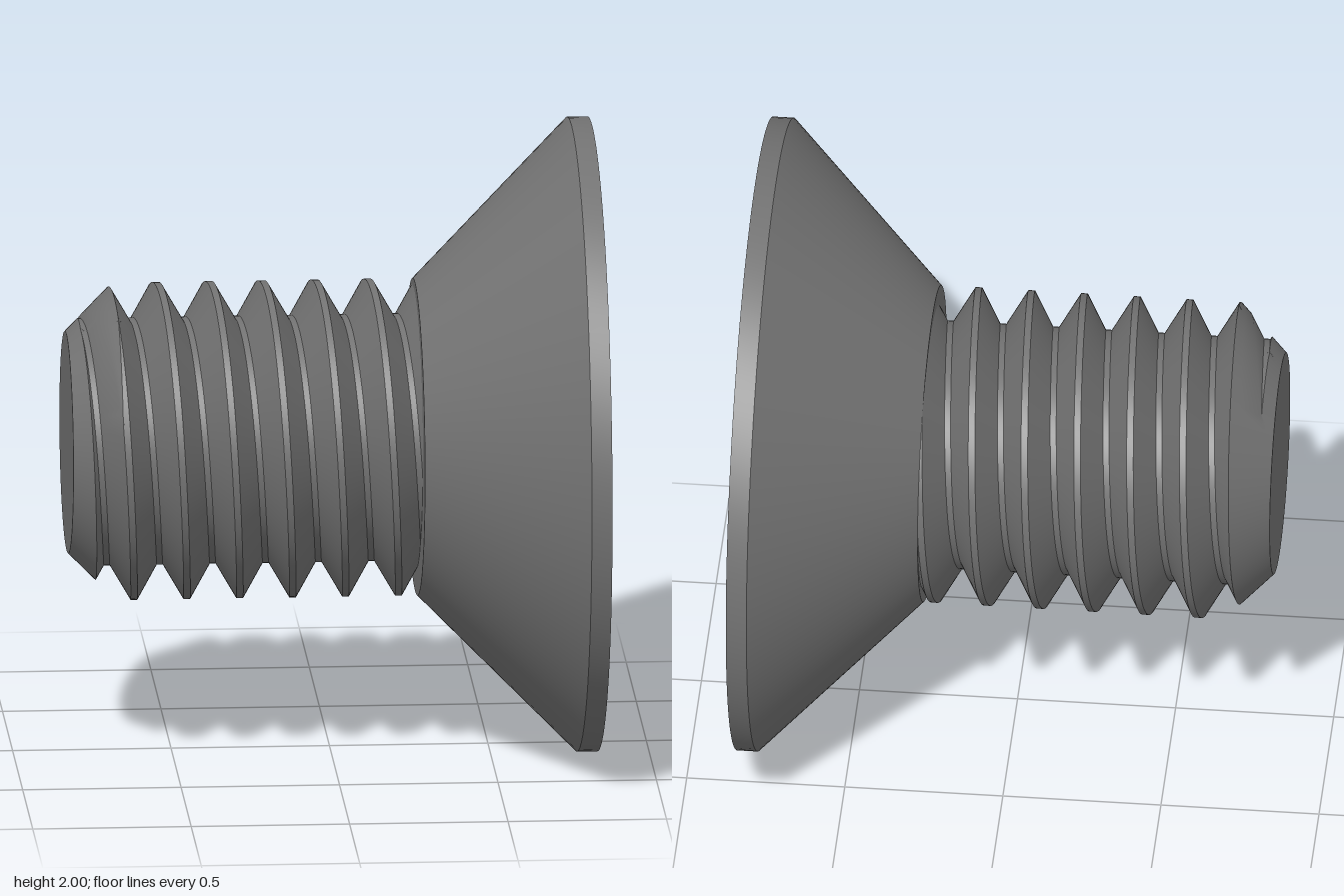
import * as THREE from 'three';
import { toCreasedNormals } from 'three/addons/utils/BufferGeometryUtils.js';

const SEGMENTS = 120;
const TIP = -0.83, NECK = 0.27, FACE = 0.83; // stations along the screw axis
const PITCH = 0.167, ROOT = 0.39, CREST = 0.5;
const clamp = THREE.MathUtils.clamp;

// Skin a ring of profiles; profileAt(angle) returns [x, radius] points
function sweep(profileAt) {
  const rings = [];
  for (let i = 0; i <= SEGMENTS; i++) {
    const a = (i / SEGMENTS) * Math.PI * 2;
    rings.push(profileAt(a).map(([x, r]) => new THREE.Vector3(x, r * Math.cos(a), r * Math.sin(a))));
  }
  const positions = [];
  const triangle = (a, b, c) => {
    const area = b.clone().sub(a).cross(c.clone().sub(a)).length();
    if (area > 1e-8) for (const p of [a, b, c]) positions.push(p.x, p.y, p.z);
  };
  for (let i = 0; i < SEGMENTS; i++) {
    for (let j = 0; j < rings[i].length - 1; j++) {
      const a = rings[i][j], b = rings[i + 1][j], c = rings[i + 1][j + 1], d = rings[i][j + 1];
      triangle(a, b, c);
      triangle(a, c, d);
    }
  }
  const geometry = new THREE.BufferGeometry();
  geometry.setAttribute('position', new THREE.Float32BufferAttribute(positions, 3));
  return toCreasedNormals(geometry, 0.45);
}

// Thread: trapezoid ridge, limited by the 45 degree chamfer at the tip
const HALF_CREST = 0.0105, HALF_BASE = 0.074;
const corners = [-HALF_BASE, -HALF_CREST, HALF_CREST, HALF_BASE];
const chamfer = (x) => 0.35 + (x - TIP);

function threadProfile(angle) {
  const start = -0.535 + (PITCH * angle) / (Math.PI * 2);
  const ridge = (x) => {
    const u = Math.abs(x - start - PITCH * Math.round((x - start) / PITCH));
    return THREE.MathUtils.lerp(CREST, ROOT, clamp((u - HALF_CREST) / (HALF_BASE - HALF_CREST), 0, 1));
  };
  const stations = [];
  for (let k = -4; k <= 6; k++) {
    for (const c of corners) stations.push(clamp(start + k * PITCH + c, TIP, NECK));
  }
  const point = (x) => [x, Math.min(ridge(x), chamfer(x))];
  const points = [[TIP, 0]];
  stations.forEach((x, i) => {
    points.push(point(x));
    if (i === stations.length - 1) return;
    // Extra point exactly where the ridge meets the chamfer
    const next = stations[i + 1];
    const da = ridge(x) - chamfer(x), db = ridge(next) - chamfer(next);
    const t = da * db < 0 ? da / (da - db) : 0.5;
    points.push(point(x + (next - x) * t));
  });
  return points;
}

// Head: countersunk cone, thin rim, flat face and chamfered hex socket
const APOTHEM = 0.3335, SOCKET_RADIUS = 0.385, SOCKET_FLOOR = 0.4;
function hexRadius(angle) {
  const sector = Math.PI / 3;
  return APOTHEM / Math.cos(angle - sector * Math.round(angle / sector));
}

function headProfile() {
  return [[NECK, 0.38], [NECK, 0.5], [0.765, 1], [FACE, 1], [FACE, SOCKET_RADIUS]];
}

function socketProfile(angle) {
  const r = hexRadius(angle);
  const lip = FACE - (SOCKET_RADIUS - r) * 1.73;
  return [[FACE, SOCKET_RADIUS], [lip, r], [SOCKET_FLOOR, r], [SOCKET_FLOOR, 0]];
}

export function createModel() {
  const steel = new THREE.MeshStandardMaterial({ color: 0x737373 });
  steel.name = 'dark steel';

  const screw = new THREE.Group();
  screw.name = 'countersunkScrew';
  const parts = { threadedShank: threadProfile, countersunkHead: headProfile, hexSocket: socketProfile };
  for (const [name, profile] of Object.entries(parts)) {
    const mesh = new THREE.Mesh(sweep(profile), steel);
    mesh.name = name;
    mesh.position.y = 1;
    screw.add(mesh);
  }
  return screw;
}
